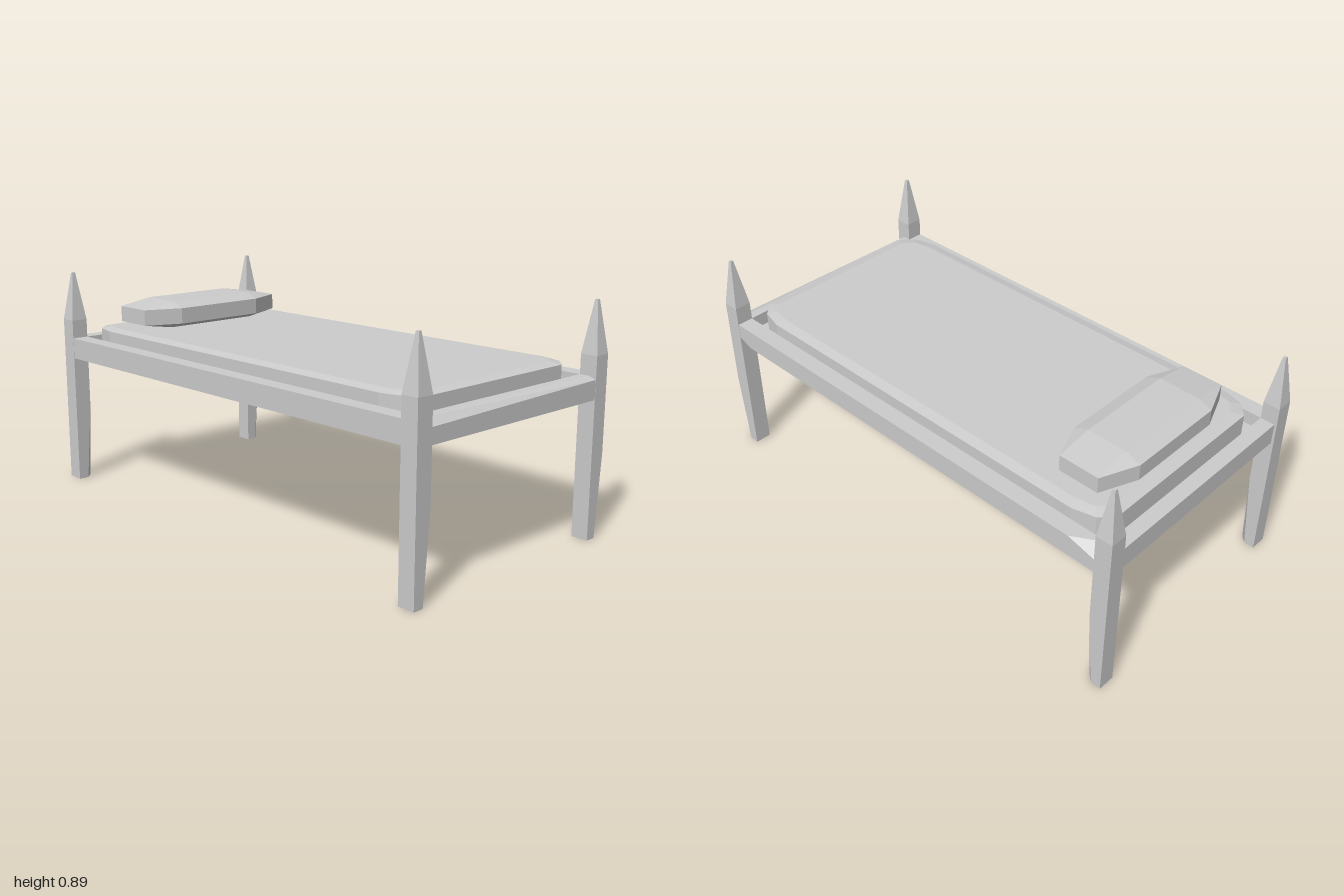
import * as THREE from 'three';
import { ConvexGeometry } from 'three/addons/geometries/ConvexGeometry.js';

const material = new THREE.MeshStandardMaterial({ color: 0xcccccc, flatShading: true });

// Faceted solid spanned by a handful of corner points
function solid(name, points) {
  const mesh = new THREE.Mesh(new ConvexGeometry(points.map(p => new THREE.Vector3(...p))), material);
  mesh.name = name;
  return mesh;
}

// Horizontal ring, mirrored over both axes from its first-quadrant corners
function ring(corners, y, z0 = 0) {
  const points = [];
  for (const [x, z] of corners)
    for (const sx of [-1, 1]) for (const sz of [-1, 1]) points.push([sx * x, y, z0 + sz * z]);
  return points;
}

// Square post with a pointed top and one corner hewn off at the foot
function post(name, x, z) {
  const h = 0.034;
  const foot = [[-h, 0, -h], [h, 0, -h], [-h, 0, h], [0.008, 0, h], [h, 0, 0.008], [h, 0.32, h]];
  const mesh = solid(name, [...foot, ...ring([[h, h]], 0.69), ...ring([[0.006, 0.006]], 0.887)]);
  mesh.position.set(x, 0, z);
  return mesh;
}

export function createModel() {
  const bed = new THREE.Group();
  bed.name = 'bed';
  const low = 0.53, high = 0.615, inX = 0.44, outX = 0.506, inZ = 0.932;

  // Posts
  for (const [side, sx] of [['Right', -1], ['Left', 1]])
    for (const [end, sz] of [['front', 1], ['back', -1]])
      bed.add(post(`${end}${side}Post`, sx * 0.473, sz * 0.966));

  // Plain side rail
  const rightRail = [];
  for (const x of [-outX, -inX]) for (const y of [low, high]) for (const z of [-inZ, inZ]) rightRail.push([x, y, z]);
  bed.add(solid('rightRail', rightRail));

  // Side rail with two chipped corners
  bed.add(solid('leftRail', [
    [inX, low, -inZ], [inX, low, inZ], [inX, high, -inZ], [inX, high, inZ],
    [outX, low, -inZ], [outX, high, inZ],
    [outX, 0.555, inZ], [outX, low, 0.87],
    [outX, 0.585, -inZ], [outX, high, -0.82],
  ]));

  // Front rail, its upper edge hewn at a slight slant
  const frontRail = [];
  for (const [x, edge] of [[-inX, 0.588], [inX, 0.604]])
    frontRail.push([x, low, inZ], [x, high, inZ], [x, high, 0.967], [x, edge, 0.999], [x, low, 0.999]);
  bed.add(solid('frontRail', frontRail));

  // Back rail
  const backRail = [];
  for (const x of [-inX, inX]) for (const y of [low, high]) for (const z of [-0.99, -inZ]) backRail.push([x, y, z]);
  bed.add(solid('backRail', backRail));

  // Base board closing the frame from below
  bed.add(solid('baseBoard', [...ring([[inX, inZ]], low), ...ring([[inX, inZ]], 0.56)]));

  // Mattress with rounded-off corners and a softened top edge
  const outline = [[0.435, 0.77], [0.412, 0.86], [0.36, 0.907]];
  const top = [[0.395, 0.75], [0.38, 0.83], [0.335, 0.868]];
  bed.add(solid('mattress', [...ring(outline, 0.56), ...ring(outline, 0.657), ...ring(top, 0.666)]));

  // Pillow
  const band = [[0.346, 0.083], [0.2, 0.142]], face = [[0.2, 0.083]];
  bed.add(solid('pillow', [
    ...ring(face, 0.663, -0.723), ...ring(band, 0.686, -0.723),
    ...ring(band, 0.75, -0.723), ...ring(face, 0.773, -0.723),
  ]));

  return bed;
}
